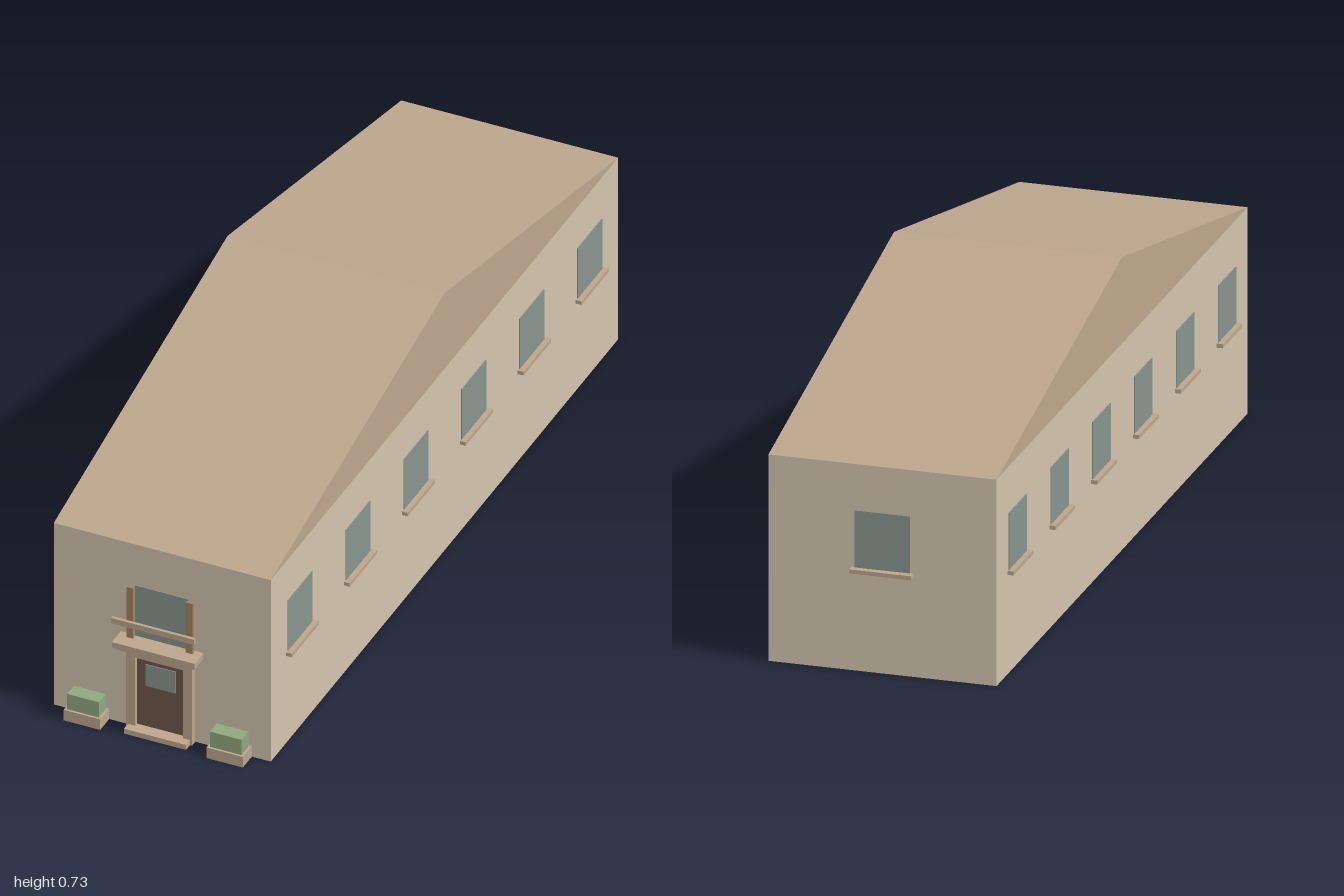
import * as THREE from 'three';

const mat = (color) => new THREE.MeshStandardMaterial({ color, flatShading: true });
const WALL = mat(0xd2c4ae), ROOF = mat(0xbca68c), TRIM = mat(0xbca68c), GLASS = mat(0x87948d);
const DOOR = mat(0x6e584a), POST = mat(0xa58262), PLANT = mat(0x8fa87f);

const W = 0.28, FRONT = 0.945, BACK = -0.98, EAVE = 0.515, RIDGE = 0.73;
const MID = (FRONT + BACK) / 2;

// Box given by its min and max on each axis
function box(parent, name, m, x0, x1, y0, y1, z0, z1) {
  const mesh = new THREE.Mesh(new THREE.BoxGeometry(x1 - x0, y1 - y0, z1 - z0), m);
  mesh.position.set((x0 + x1) / 2, (y0 + y1) / 2, (z0 + z1) / 2);
  mesh.name = name;
  parent.add(mesh);
  return mesh;
}

// Flush pane with a projecting sill, facing +z at its own origin
function makeWindow(name) {
  const g = new THREE.Group();
  g.name = name;
  box(g, 'pane', GLASS, -0.068, 0.068, 0.258, 0.4, -0.004, 0.002);
  box(g, 'sill', TRIM, -0.076, 0.076, 0.248, 0.258, -0.004, 0.015);
  return g;
}

export function createModel() {
  const model = new THREE.Group();
  model.name = 'building';

  box(model, 'walls', WALL, -W, W, 0, EAVE, BACK, FRONT);

  // Roof: triangle in the z-y plane, extruded across the width
  const tri = new THREE.Shape([
    new THREE.Vector2(-FRONT, EAVE), new THREE.Vector2(-BACK, EAVE), new THREE.Vector2(-MID, RIDGE),
  ]);
  const roofGeo = new THREE.ExtrudeGeometry(tri, { depth: 2 * W, bevelEnabled: false });
  roofGeo.translate(0, 0, -W).rotateY(Math.PI / 2);
  const roof = new THREE.Mesh(roofGeo, ROOF);
  roof.name = 'roof';
  model.add(roof);

  // Side windows and back window
  for (const s of [-1, 1]) {
    for (let i = 0; i < 6; i++) {
      const w = makeWindow(s > 0 ? 'leftWindow' : 'rightWindow');
      w.position.set(s * W, 0, 0.785 - i * 0.321);
      w.rotation.y = s * Math.PI / 2;
      model.add(w);
    }
  }
  const backWindow = makeWindow('backWindow');
  backWindow.position.z = BACK;
  backWindow.rotation.y = Math.PI;
  backWindow.scale.z = 1.33;
  model.add(backWindow);

  // Entrance: surround, door and step
  const entrance = new THREE.Group();
  entrance.name = 'entrance';
  model.add(entrance);
  for (const s of [-1, 1]) {
    const x = s * 0.0735;
    box(entrance, 'doorJamb', TRIM, x - 0.0115, x + 0.0115, 0, 0.233, FRONT - 0.005, 0.963);
  }
  box(entrance, 'doorLintel', TRIM, -0.062, 0.062, 0.207, 0.233, FRONT - 0.005, 0.963);
  box(entrance, 'door', DOOR, -0.062, 0.062, 0.01, 0.207, FRONT - 0.005, 0.953);
  box(entrance, 'doorPane', GLASS, -0.039, 0.039, 0.129, 0.19, 0.95, 0.955);
  box(entrance, 'step', TRIM, -0.08, 0.08, 0, 0.014, FRONT - 0.005, 0.985);

  // Balcony over the door
  const balcony = new THREE.Group();
  balcony.name = 'balcony';
  model.add(balcony);
  box(balcony, 'slabUnderside', TRIM, -0.1, 0.1, 0.233, 0.243, FRONT - 0.005, 0.985);
  box(balcony, 'slab', TRIM, -0.107, 0.107, 0.243, 0.258, FRONT - 0.005, 0.995);
  box(balcony, 'rail', TRIM, -0.107, 0.107, 0.315, 0.33, 0.992, 1);
  box(balcony, 'balconyPane', GLASS, -0.069, 0.069, 0.258, 0.4, FRONT - 0.005, 0.947);
  for (const s of [-1, 1]) {
    const x = s * 0.0765;
    box(balcony, 'post', POST, x - 0.0085, x + 0.0085, 0.258, 0.4, 0.953, 0.961);
  }

  // Planters either side of the door
  for (const s of [-1, 1]) {
    const g = new THREE.Group();
    g.name = s > 0 ? 'leftPlanter' : 'rightPlanter';
    g.position.x = s * 0.184;
    box(g, 'planterBox', TRIM, -0.047, 0.047, 0, 0.03, FRONT, 0.995);
    box(g, 'shrub', PLANT, -0.041, 0.041, 0.03, 0.073, 0.951, 0.989);
    model.add(g);
  }
  return model;
}
